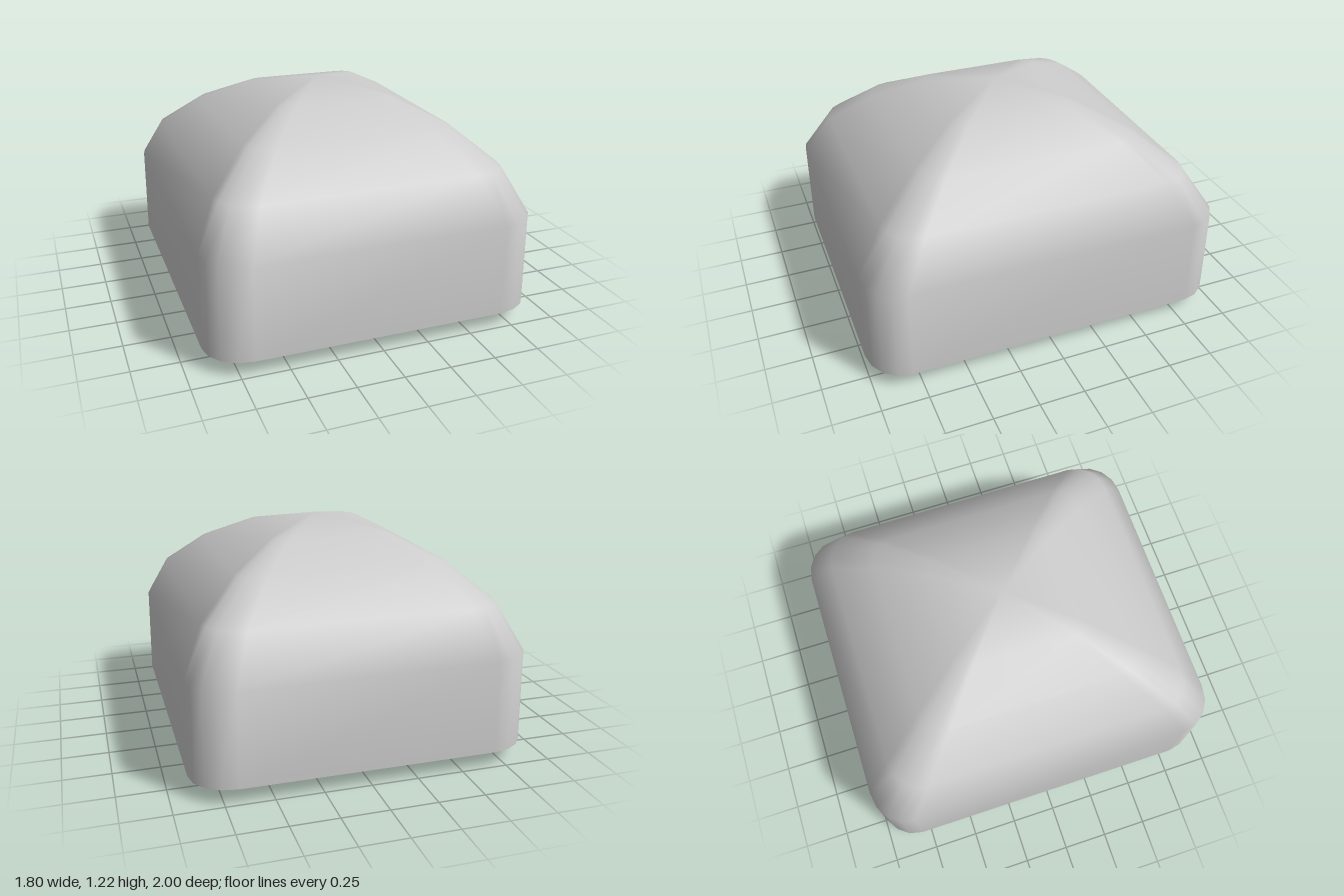
import * as THREE from 'three';

const CORNER_STEPS = 4;

// Rounded rectangle ring with half sizes hx, hz; corners shrink with the ring
function ring(hx, hz, y) {
  const rx = hx * 0.245, rz = hz * 0.2, points = [];
  for (let q = 0; q < 4; q++) {
    const sx = q === 0 || q === 3 ? 1 : -1, sz = q < 2 ? 1 : -1;
    for (let i = 0; i <= CORNER_STEPS; i++) {
      const a = (q + i / CORNER_STEPS) * Math.PI / 2;
      points.push(sx * (hx - rx) + rx * Math.cos(a), y, sz * (hz - rz) + rz * Math.sin(a));
    }
  }
  return points;
}

// Smooth skin through rings, closed by an apex point above (up) or below
function loft(rings, apexY, up) {
  const n = rings[0].length / 3, positions = rings.flat(), index = [];
  const apex = rings.length * n;
  positions.push(0, apexY, 0);
  for (let r = 0; r < rings.length; r++) {
    for (let i = 0; i < n; i++) {
      const a = r * n + i, b = r * n + (i + 1) % n;
      if (r < rings.length - 1) index.push(a, a + n, b, b, a + n, b + n);
      else if (up) index.push(a, apex, b);
      else index.push(apex, a, b);
    }
  }
  const geometry = new THREE.BufferGeometry();
  geometry.setAttribute('position', new THREE.Float32BufferAttribute(positions, 3));
  geometry.setIndex(index);
  geometry.computeVertexNormals();
  return geometry;
}

export function createModel() {
  const group = new THREE.Group();
  group.name = 'domedBlock';
  const material = new THREE.MeshStandardMaterial({ color: 0xcccccc });

  // Upright walls running into the faceted dome: half width, half depth, height
  const profile = [
    [0.9, 1.0, 0.085],
    [0.895, 0.995, 0.59],
    [0.786, 0.843, 0.825],
    [0.575, 0.605, 1.01],
    [0.325, 0.34, 1.14],
  ];
  const dome = new THREE.Mesh(loft(profile.map((p) => ring(...p)), 1.215, true), material);
  dome.name = 'dome';

  // Shallow pointed underside
  const base = new THREE.Mesh(loft([ring(...profile[0])], 0, false), material);
  base.name = 'underside';

  group.add(dome, base);
  return group;
}
